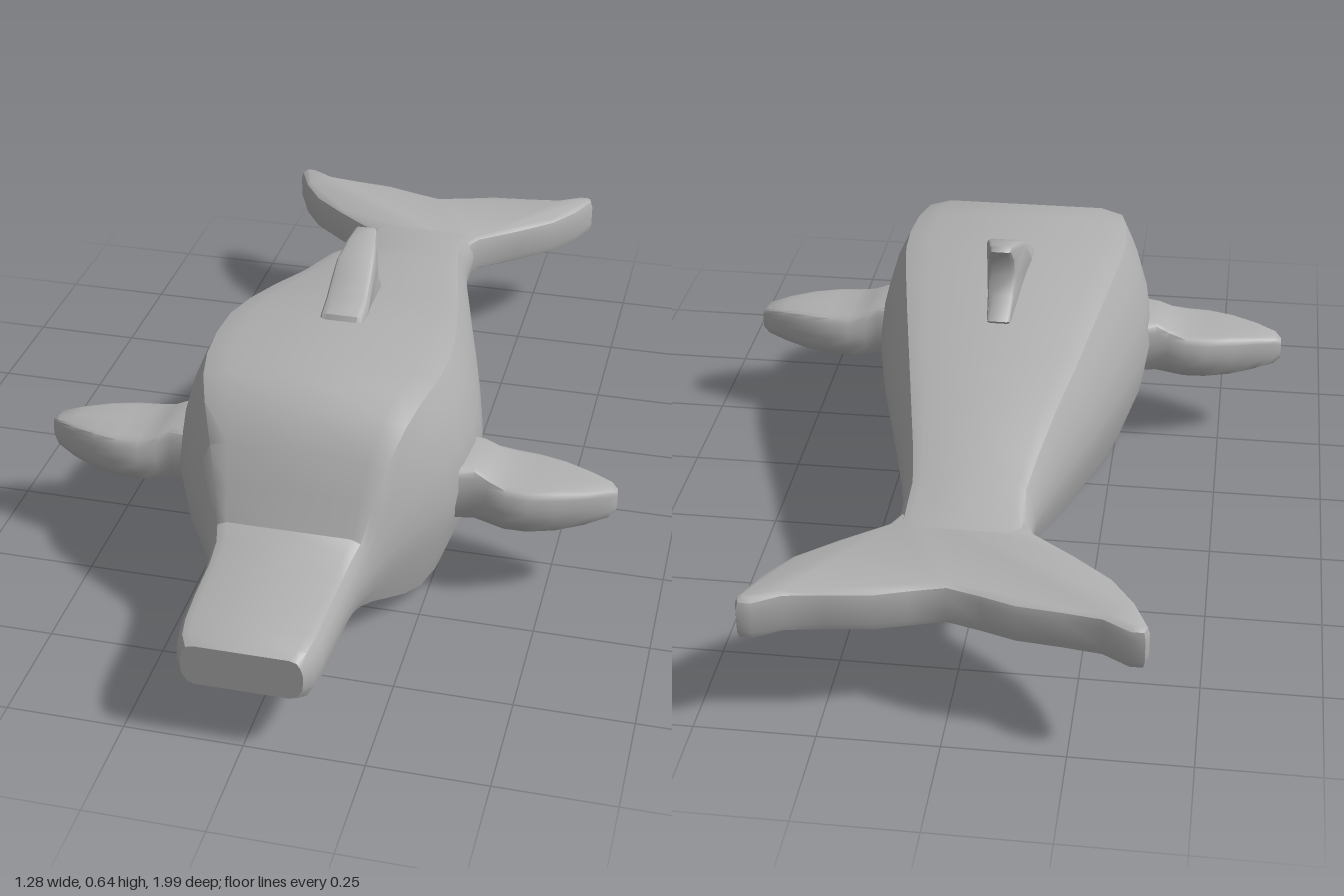
import * as THREE from 'three';
import { toCreasedNormals } from 'three/addons/utils/BufferGeometryUtils.js';

// Half cross-sections (width, height): bulging hull and rounded box
const HULL = [[0, 1], [0.62, 1], [0.79, 0.97], [0.88, 0.85], [0.96, 0.68], [1, 0.5], [0.95, 0.3], [0.8, 0.04], [0.64, 0], [0, 0]];
const BOX = [[0, 1], [0.8, 1], [0.91, 0.95], [0.97, 0.82], [1, 0.65], [1, 0.5], [0.99, 0.25], [0.9, 0.05], [0.78, 0], [0, 0]];

// Full ring of points at depth z, blended between the two profiles
function ring([z, halfWidth, bottom, top, boxy = 0, cx = 0]) {
  const half = HULL.map(([u, v], i) => [
    THREE.MathUtils.lerp(u, BOX[i][0], boxy) * halfWidth,
    bottom + THREE.MathUtils.lerp(v, BOX[i][1], boxy) * (top - bottom),
  ]);
  const mirrored = half.slice(1, -1).reverse().map(([x, y]) => [-x, y]);
  return [...half, ...mirrored].map(([x, y]) => new THREE.Vector3(x + cx, y, z));
}

// Closed skin through a list of sections ordered from +z to -z
function loft(sections, crease = 0.6) {
  const rings = sections.map(ring);
  const n = rings[0].length;
  const pos = [];
  const tri = (...pts) => pts.forEach((p) => pos.push(p.x, p.y, p.z));
  for (let j = 0; j < rings.length - 1; j++) {
    for (let i = 0; i < n; i++) {
      const k = (i + 1) % n;
      tri(rings[j][i], rings[j][k], rings[j + 1][i]);
      tri(rings[j][k], rings[j + 1][k], rings[j + 1][i]);
    }
  }
  const first = rings[0], last = rings[rings.length - 1];
  const mid = (r) => r.reduce((s, p) => s.add(p), new THREE.Vector3()).divideScalar(n);
  const a = mid(first), b = mid(last);
  for (let i = 0; i < n; i++) {
    const k = (i + 1) % n;
    tri(a, first[k], first[i]);
    tri(b, last[i], last[k]);
  }
  const geo = new THREE.BufferGeometry();
  geo.setAttribute('position', new THREE.Float32BufferAttribute(pos, 3));
  return toCreasedNormals(geo, crease);
}

export function createModel() {
  const model = new THREE.Group();
  model.name = 'dolphin';
  const grey = new THREE.MeshStandardMaterial({ color: 0xb0b0b0 });
  grey.name = 'grey skin';

  const add = (name, geo) => {
    const mesh = new THREE.Mesh(geo, grey);
    mesh.name = name;
    model.add(mesh);
    return mesh;
  };

  // Beak, forehead, trunk and tail stock: z, half width, bottom, top, boxiness
  add('body', loft([
    [0.995, 0.125, 0.135, 0.228, 0.9],
    [0.97, 0.14, 0.122, 0.238, 0.9],
    [0.93, 0.147, 0.118, 0.245, 0.9],
    [0.85, 0.151, 0.115, 0.25, 0.9],
    [0.75, 0.154, 0.113, 0.25, 0.9],
    [0.68, 0.16, 0.105, 0.258, 0.9],
    [0.64, 0.172, 0.098, 0.275, 0.85],
    [0.6, 0.2, 0.083, 0.345, 0.5],
    [0.56, 0.232, 0.062, 0.42, 0.2],
    [0.5, 0.272, 0.033, 0.487, 0.05],
    [0.44, 0.3, 0.013, 0.518],
    [0.36, 0.32, 0.004, 0.523],
    [0.27, 0.328, 0, 0.524],
    [0.18, 0.322, 0.003, 0.524],
    [0.08, 0.302, 0.016, 0.51],
    [-0.05, 0.272, 0.042, 0.48],
    [-0.2, 0.232, 0.08, 0.44, 0.1],
    [-0.35, 0.192, 0.115, 0.412, 0.25],
    [-0.48, 0.158, 0.15, 0.372, 0.4],
    [-0.57, 0.14, 0.18, 0.345, 0.5],
    [-0.68, 0.14, 0.212, 0.318, 0.6],
    [-0.73, 0.13, 0.222, 0.308, 0.7],
  ]));

  // Tail fluke: half outline as x and distance back, mirrored
  const half = [[0.12, 0.62], [0.15, 0.685], [0.24, 0.755], [0.32, 0.825], [0.37, 0.9], [0.402, 0.975],
    [0.395, 0.998], [0.365, 0.998], [0.31, 0.965], [0.23, 0.953], [0.14, 0.943], [0.07, 0.92], [0, 0.9]];
  const outline = [...half, ...half.slice(0, -1).reverse().map(([x, y]) => [-x, y])];
  const flukeShape = new THREE.Shape(outline.map(([x, y]) => new THREE.Vector2(x, y)));
  const fluke = new THREE.ExtrudeGeometry(flukeShape, {
    depth: 0.05, bevelThickness: 0.022, bevelSize: 0.014, bevelOffset: -0.014, bevelSegments: 2,
  });
  fluke.rotateX(-Math.PI / 2).translate(0, 0.242, 0);
  add('tailFluke', toCreasedNormals(fluke, 0.7));

  // Side flippers: reach, half chord, bottom, top, boxiness, chord centre
  const flipper = [
    [0.64, 0.012, 0.212, 0.255, 0.5, 0.305],
    [0.625, 0.028, 0.2, 0.266, 0.5, 0.308],
    [0.58, 0.052, 0.189, 0.274, 0.5, 0.312],
    [0.52, 0.078, 0.18, 0.28, 0.5, 0.314],
    [0.46, 0.095, 0.177, 0.282, 0.5, 0.315],
    [0.41, 0.097, 0.177, 0.284, 0.5, 0.314],
    [0.37, 0.085, 0.179, 0.295, 0.5, 0.312],
    [0.34, 0.08, 0.182, 0.31, 0.5, 0.31],
    [0.27, 0.1, 0.182, 0.312, 0.5, 0.31],
  ];
  for (const [side, name] of [[1, 'leftFlipper'], [-1, 'rightFlipper']]) {
    const sections = flipper.map(([z, w, b, t, k, c]) => [z, w, b, t, k, -side * c]);
    add(name, loft(sections, 0.8)).rotation.y = side * Math.PI / 2;
  }

  // Dorsal fin: side outline as z and y, narrowed to the rear and the tip
  const finShape = new THREE.Shape([[0.2, 0.5], [0.18, 0.535], [0.13, 0.552], [0.09, 0.58], [0.05, 0.608], [0, 0.628],
    [-0.05, 0.638], [-0.06, 0.628], [-0.038, 0.595], [-0.035, 0.56], [-0.055, 0.52], [-0.1, 0.475], [-0.08, 0.45],
    [0.16, 0.48]].map(([z, y]) => new THREE.Vector2(-z, y)));
  const fin = new THREE.ExtrudeGeometry(finShape, {
    depth: 0.07, bevelThickness: 0.014, bevelSize: 0.01, bevelOffset: -0.01, bevelSegments: 2,
  });
  fin.translate(0, 0, -0.035).rotateY(Math.PI / 2);
  const p = fin.attributes.position;
  for (let i = 0; i < p.count; i++) {
    const rear = THREE.MathUtils.smoothstep(-p.getZ(i), -0.06, 0.08);
    const tip = THREE.MathUtils.smoothstep(p.getY(i), 0.52, 0.66);
    p.setX(i, p.getX(i) * (1 - 0.45 * rear) * (1 - 0.15 * tip));
  }
  add('dorsalFin', toCreasedNormals(fin, 0.7));

  return model;
}
